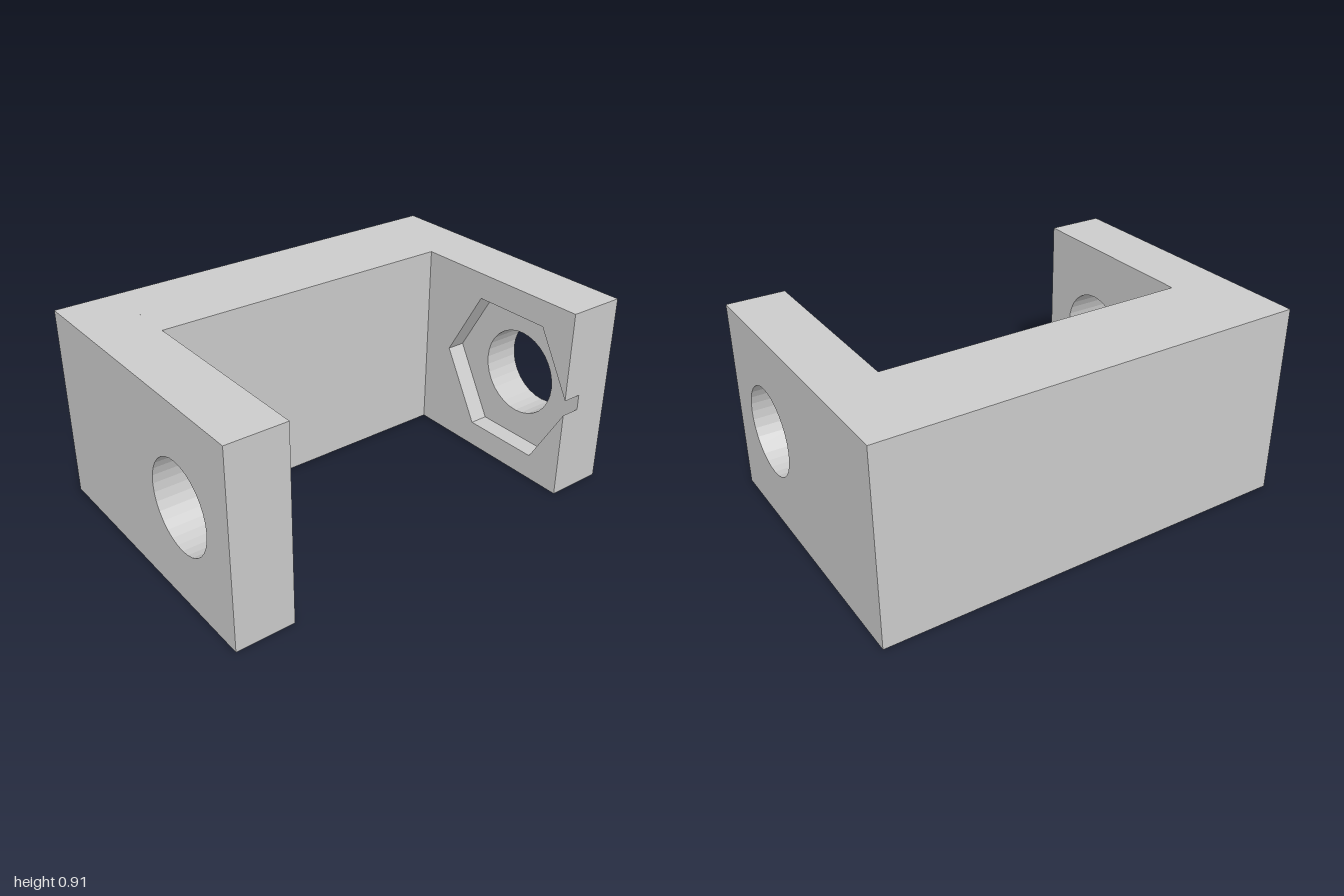
import * as THREE from 'three';

const X = 0.68, H = 0.91, INNER_X = -0.23, INNER_Z = 0.73, POCKET_Z = 0.82;
const HOLE = { x: 0.316, y: H / 2, r: 0.205 };
const HEX_R = 0.385; // corner radius of the nut pocket; its tip breaks through the arm's end

const material = new THREE.MeshStandardMaterial({ color: 0xcccccc, flatShading: true });

// Extrudes a front-facing outline from z0 to z1
function slab(name, shape, z0, z1) {
  const geometry = new THREE.ExtrudeGeometry(shape, { depth: z1 - z0, bevelEnabled: false, curveSegments: 16 });
  geometry.translate(0, 0, z0);
  const mesh = new THREE.Mesh(geometry, material);
  mesh.name = name;
  return mesh;
}

const outline = (points) => new THREE.Shape(points.map(([x, y]) => new THREE.Vector2(x, y)));

// Rectangular arm face with the round bolt hole
function drilledPlate() {
  const shape = outline([[-X, 0], [X, 0], [X, H], [-X, H]]);
  shape.holes.push(new THREE.Path().absarc(HOLE.x, HOLE.y, HOLE.r, 0, Math.PI * 2, true));
  return shape;
}

// Arm face cut by the hexagon, open where its tip passes the arm's end
function pocketPlate() {
  const gap = (HOLE.x + HEX_R - X) * Math.sqrt(3);
  const points = [[-X, 0], [X, 0], [X, HOLE.y - gap]];
  for (let i = 1; i <= 5; i++) {
    const a = -i * Math.PI / 3;
    points.push([HOLE.x + HEX_R * Math.cos(a), HOLE.y + HEX_R * Math.sin(a)]);
  }
  points.push([X, HOLE.y + gap], [X, H], [-X, H]);
  return outline(points);
}

export function createModel() {
  const group = new THREE.Group();
  group.name = 'clampBracket';

  // Spine joining the two arms
  group.add(slab('spine', outline([[-X, 0], [INNER_X, 0], [INNER_X, H], [-X, H]]), -INNER_Z, INNER_Z));

  // Front arm with a plain through hole
  group.add(slab('frontArm', drilledPlate(), INNER_Z, 1));

  // Back arm: drilled outer layer and inner layer holding the nut pocket
  const backArm = new THREE.Group();
  backArm.name = 'backArm';
  backArm.add(slab('backArmPlate', drilledPlate(), -1, -POCKET_Z));
  backArm.add(slab('nutPocket', pocketPlate(), -POCKET_Z, -INNER_Z));
  group.add(backArm);

  return group;
}
